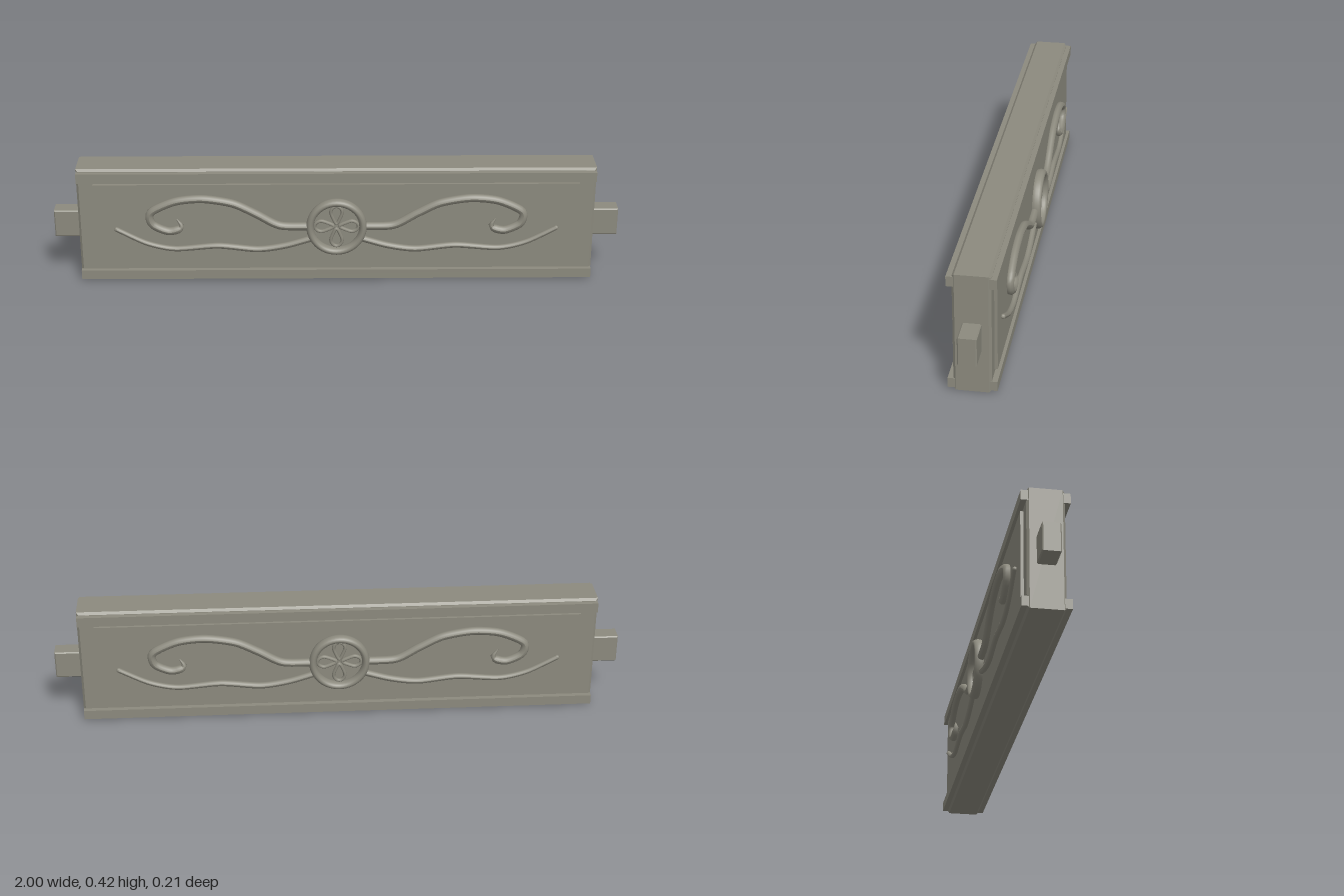
import * as THREE from 'three';

export function createModel() {
  const model = new THREE.Group();
  model.name = 'carvedBeam';
  const stone = new THREE.MeshStandardMaterial({ color: 0x8c8a7e });
  stone.name = 'greyStone';

  const add = (parent, name, geometry, x = 0, y = 0, z = 0) => {
    const mesh = new THREE.Mesh(geometry, stone);
    mesh.name = name;
    mesh.position.set(x, y, z);
    parent.add(mesh);
    return mesh;
  };

  // Box with chamfered edges, centred on its origin
  const chamferBox = (w, h, d, c) => {
    const a = w / 2 - c, b = h / 2 - c;
    const shape = new THREE.Shape([[-a, -b], [a, -b], [a, b], [-a, b]].map(p => new THREE.Vector2(...p)));
    return new THREE.ExtrudeGeometry(shape, {
      depth: d - 2 * c, bevelEnabled: true, bevelSize: c, bevelThickness: c, bevelSegments: 1,
    }).translate(0, 0, c - d / 2);
  };

  // Tube through points, thinning from the fraction taperFrom to the far end
  const vine = (points, side, z, radius, taperFrom, endScale) => {
    const curve = new THREE.CatmullRomCurve3(
      points.map(([x, y]) => new THREE.Vector3(x * side, y, z)), false, 'catmullrom', 0.4);
    const segments = 72, sides = 10;
    const geometry = new THREE.TubeGeometry(curve, segments, radius, sides);
    const pos = geometry.attributes.position, v = new THREE.Vector3();
    for (let i = 0; i <= segments; i++) {
      const t = i / segments, centre = curve.getPointAt(t);
      const s = t < taperFrom ? 1 : THREE.MathUtils.lerp(1, endScale, (t - taperFrom) / (1 - taperFrom));
      for (let j = 0; j <= sides; j++) {
        const k = i * (sides + 1) + j;
        v.fromBufferAttribute(pos, k).sub(centre).multiplyScalar(s).add(centre);
        pos.setXYZ(k, v.x, v.y, v.z);
      }
    }
    geometry.computeVertexNormals();
    return geometry;
  };

  // Body and end tenons
  add(model, 'body', chamferBox(1.82, 0.424, 0.124, 0.008), 0, 0.215, 0);
  for (const side of [-1, 1]) {
    add(model, 'tenon', chamferBox(0.12, 0.1, 0.062, 0.004), side * 0.94, 0.206, 0);
  }

  const upperPath = [[0.09, 0.216], [0.2, 0.22], [0.283, 0.265], [0.364, 0.305], [0.47, 0.323],
    [0.567, 0.313], [0.652, 0.272], [0.648, 0.226], [0.592, 0.199], [0.545, 0.213], [0.562, 0.246]];
  const lowerPath = [[0.08, 0.17], [0.18, 0.14], [0.28, 0.126], [0.42, 0.14], [0.57, 0.129],
    [0.67, 0.151], [0.775, 0.205]];

  // One decorated face, repeated on front and back
  for (const back of [0, 1]) {
    const face = new THREE.Group();
    face.name = back ? 'backFace' : 'frontFace';
    face.rotation.y = back * Math.PI;
    model.add(face);

    add(face, 'panel', new THREE.BoxGeometry(1.704, 0.318, 0.02), 0, 0.214, 0.062);
    add(face, 'bottomRail', new THREE.BoxGeometry(1.816, 0.034, 0.03), 0, 0.027, 0.065);
    add(face, 'topRail', new THREE.BoxGeometry(1.816, 0.035, 0.03), 0, 0.4, 0.065);

    // Curling vines
    for (const side of [-1, 1]) {
      add(face, 'upperVine', vine(upperPath, side, 0.08, 0.0145, 0.93, 0.1));
      add(face, 'lowerVine', vine(lowerPath, side, 0.077, 0.0115, 0.3, 0.75));
      add(face, 'vineTip', new THREE.SphereGeometry(0.0086, 10, 8), side * 0.775, 0.205, 0.077);
    }

    // Round medallion with four petal loops
    const medallion = new THREE.Group();
    medallion.name = 'medallion';
    medallion.position.set(0, 0.215, 0);
    face.add(medallion);
    add(medallion, 'ring', new THREE.TorusGeometry(0.0935, 0.0135, 12, 48).scale(1, 1, 1.5), 0, 0, 0.083);
    const loop = new THREE.CatmullRomCurve3(
      [[0.01, 0], [0.034, 0.014], [0.056, 0.02], [0.072, 0.012], [0.077, 0],
        [0.072, -0.012], [0.056, -0.02], [0.034, -0.014]]
        .map(([x, y]) => new THREE.Vector3(x, y, 0)), true);
    for (let i = 0; i < 4; i++) {
      const petal = add(medallion, 'petal', new THREE.TubeGeometry(loop, 36, 0.006, 8, true), 0, 0, 0.077);
      petal.scale.z = 1.5;
      petal.rotation.z = i * Math.PI / 2;
    }
  }
  return model;
}
